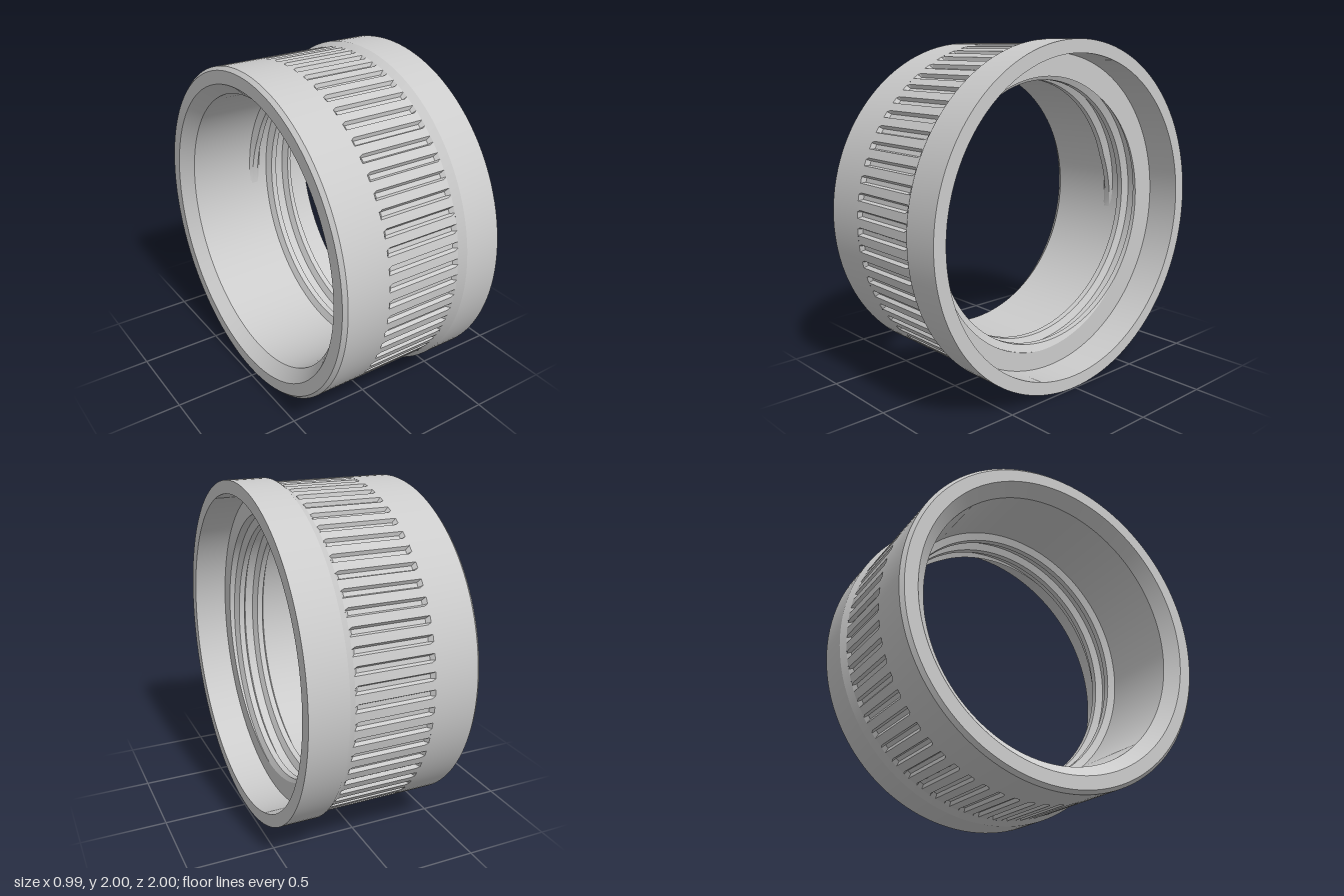
import * as THREE from 'three';
import { toCreasedNormals } from 'three/addons/utils/BufferGeometryUtils.js';

const TAU = Math.PI * 2;
const GROOVES = 64, R = 0.975, DEPTH = 0.02;
const FLOOR_X = 0.29, BORE = 0.815, CREST = 0.773, PITCH = 0.13;

// Surface around the x axis: point(i, j) gives [x, radius, angle].
function gridAroundX(rows, cols, point) {
  const pos = [], index = [];
  for (let i = 0; i < rows; i++)
    for (let j = 0; j < cols; j++) {
      const [x, r, a] = point(i, j);
      pos.push(x, r * Math.cos(a), r * Math.sin(a));
      if (i < rows - 1 && j < cols - 1) {
        const p = i * cols + j, q = p + cols;
        index.push(p, p + 1, q, p + 1, q + 1, q);
      }
    }
  const g = new THREE.BufferGeometry();
  g.setAttribute('position', new THREE.Float32BufferAttribute(pos, 3));
  g.setIndex(index);
  return toCreasedNormals(g, 0.3);
}

export function createModel() {
  const group = new THREE.Group();
  group.name = 'threadedCollar';
  const mat = new THREE.MeshStandardMaterial({ color: 0xcccccc });
  const add = (name, geometry, material = mat) => {
    const mesh = new THREE.Mesh(geometry, material);
    mesh.name = name;
    mesh.position.y = 1;
    group.add(mesh);
  };

  // Collar shell: flared rim, recess, bore and chamfered end; open where the grip sits
  const profile = [
    [R, 0.235], [1, 0.275], [1, 0.495], [0.925, 0.495], [0.925, FLOOR_X],
    [BORE, FLOOR_X], [BORE, -0.42], [0.88, -0.495], [0.955, -0.495],
    [R, -0.475], [R, -0.22],
  ].map(([r, x]) => new THREE.Vector2(r, x));
  const shell = new THREE.LatheGeometry(profile, 128);
  shell.rotateZ(-Math.PI / 2);
  add('collarShell', toCreasedNormals(shell, 0.3));

  // Grip band: shallow straight grooves with sloped ends
  const xs = [-0.22, -0.2, 0.215, 0.235];
  const steps = [0, 0.11, 0.37, 0.48]; // groove edge, floor, floor, edge
  add('gripBand', gridAroundX(4, GROOVES * 4 + 1, (i, j) => {
    const k = j % 4;
    const cut = (i === 1 || i === 2) && (k === 1 || k === 2);
    return [xs[i], cut ? R - DEPTH : R, (Math.floor(j / 4) + steps[k]) * TAU / GROOVES];
  }));

  // Internal screw thread: trapezoid ridge on a helix, trimmed at the recess floor
  const section = [0.04, 0.04, 0.018, -0.018, -0.04];
  const start = 0.625 - 1.9, turns = 2.5, cols = 321;
  add('screwThread', gridAroundX(section.length, cols, (i, j) => {
    const turn = start + turns * j / (cols - 1);
    const centre = 0.27 + PITCH * (turn - 0.625);
    const local = Math.min(section[i], FLOOR_X - centre);
    const rise = THREE.MathUtils.clamp((0.04 - Math.abs(local)) / 0.022, 0, 1);
    const fade = Math.min(1, j / 10);
    const r = i === 0 ? BORE + 0.003 : BORE + 0.003 - (BORE + 0.003 - CREST) * rise * fade;
    return [centre + local, r, turn * TAU];
  }), new THREE.MeshStandardMaterial({ color: 0xcccccc, side: THREE.DoubleSide }));

  return group;
}
